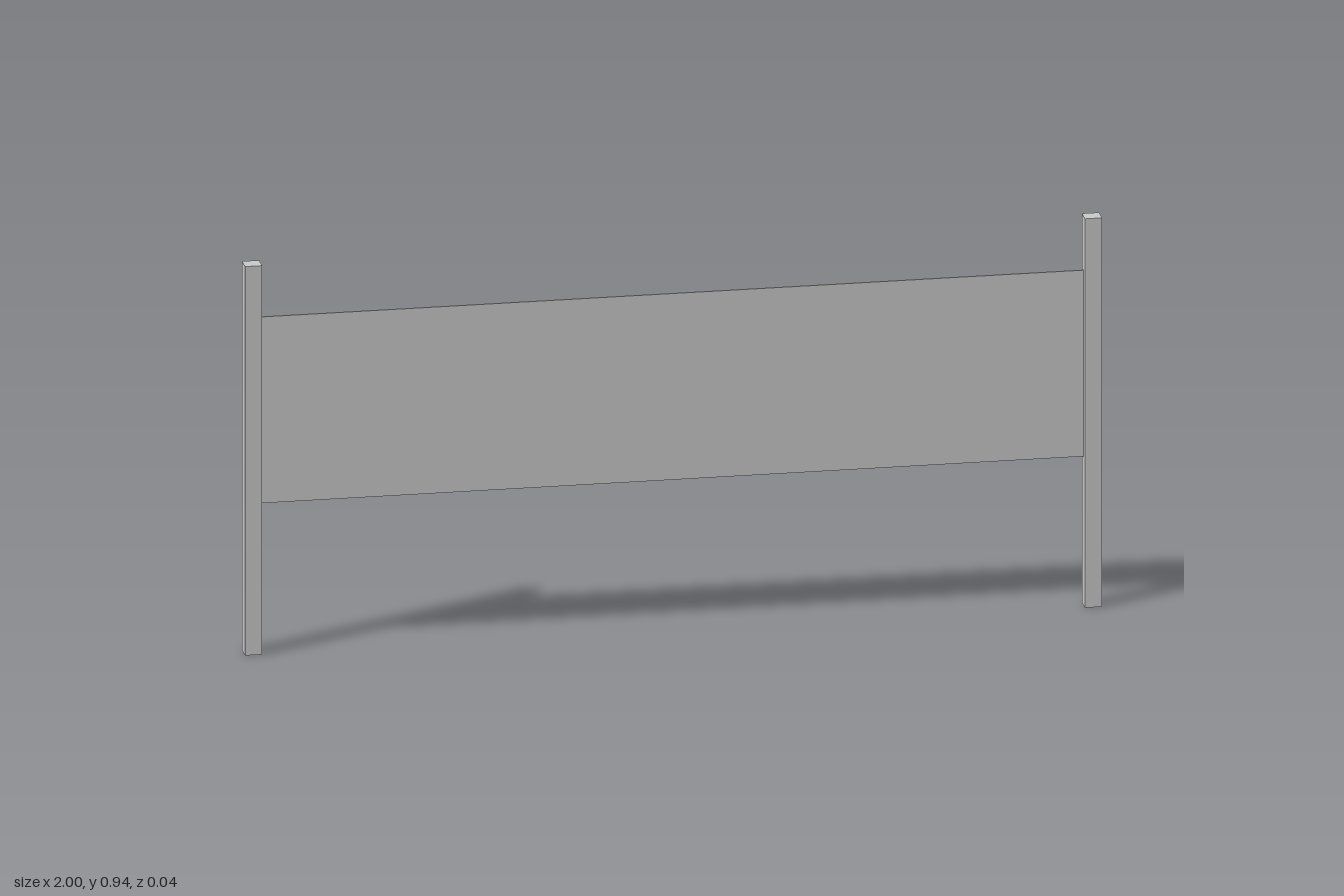
import * as THREE from 'three';

const material = new THREE.MeshStandardMaterial({ color: 0xcccccc, flatShading: true });

function box(name, w, h, d, x, y) {
  const mesh = new THREE.Mesh(new THREE.BoxGeometry(w, h, d), material);
  mesh.name = name;
  mesh.position.set(x, y, 0);
  return mesh;
}

export function createModel() {
  const height = 0.94, post = 0.04;
  const panelBottom = 0.36, panelTop = 0.81;
  const model = new THREE.Group();
  model.name = 'panelFence';

  // square upright posts at both ends
  for (const [name, side] of [['leftPost', 1], ['rightPost', -1]]) {
    model.add(box(name, post, height, post, side * (1 - post / 2), height / 2));
  }

  // thin sheet spanning between the posts
  model.add(box('panel', 2 - 2 * post, panelTop - panelBottom, 0.004, 0, (panelTop + panelBottom) / 2));
  return model;
}
